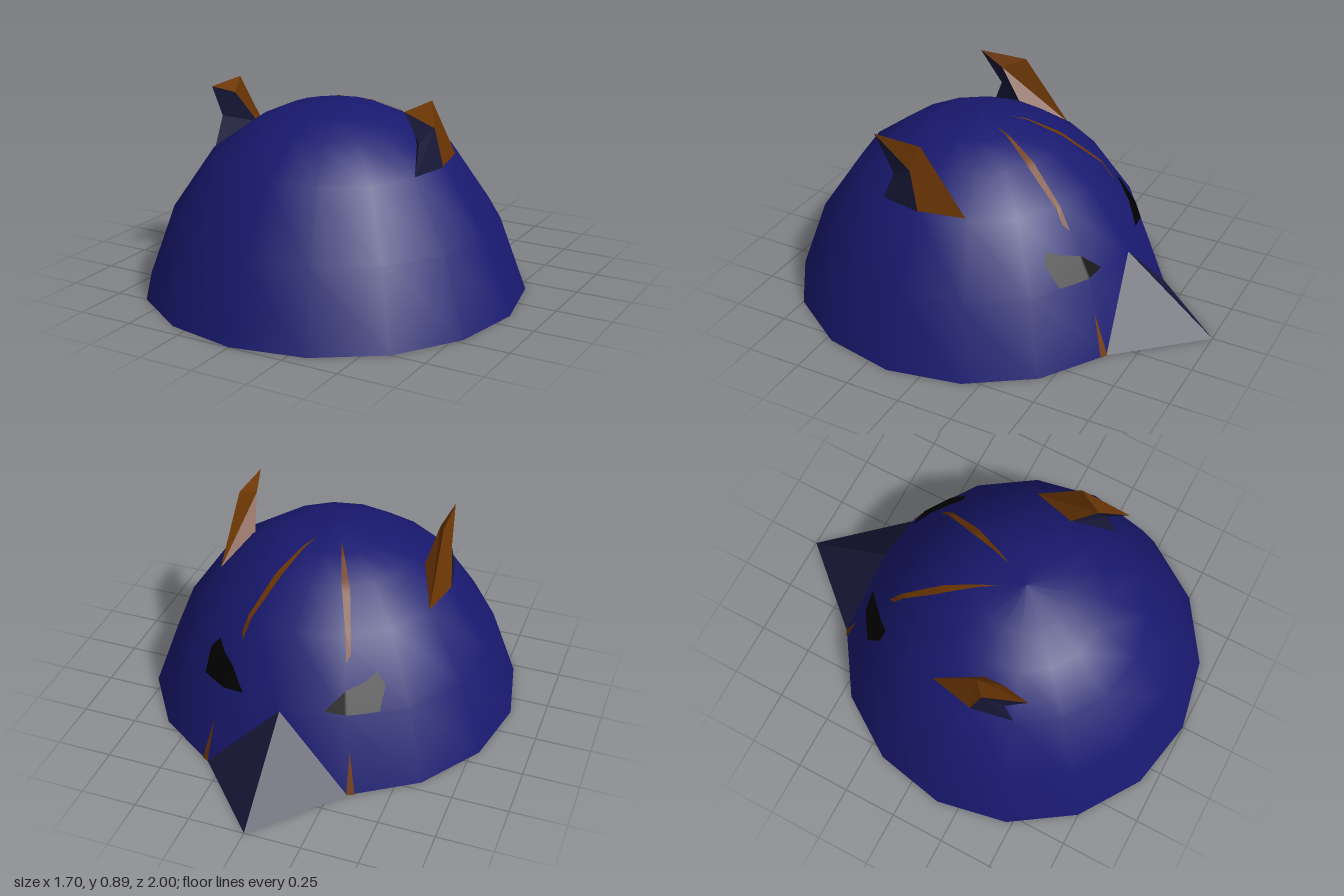
import * as THREE from 'three';

const CZ = 0.148; // z of the dome axis
const SIDES = 16;
const PROFILE = [[0.85, 0], [0.73, 0.328], [0.54, 0.607], [0.355, 0.74], [0.205, 0.807], [0, 0.838]];

const material = (name, color) => {
  const m = new THREE.MeshStandardMaterial({ color, side: THREE.DoubleSide });
  m.name = name;
  return m;
};

// Height of the faceted dome above a point of the ground plane
function domeHeight(x, z) {
  const step = (2 * Math.PI) / SIDES;
  const a = Math.atan2(z - CZ, x) + 2 * Math.PI;
  const r = Math.hypot(x, z - CZ) * Math.cos((a % step) - step / 2) / Math.cos(step / 2);
  for (let i = 1; i < PROFILE.length; i++) {
    const [r0, y0] = PROFILE[i - 1], [r1, y1] = PROFILE[i];
    if (r >= r1) return Math.max(0, y0 + (y1 - y0) * (r0 - r) / (r0 - r1));
  }
  return PROFILE.at(-1)[1];
}

// Flat-shaded triangles, optionally mirrored in x
function facets(tris, s = 1) {
  const pos = [];
  for (const [a, b, c] of tris) {
    for (const p of s > 0 ? [a, b, c] : [a, c, b]) pos.push(p[0] * s, p[1], p[2]);
  }
  const g = new THREE.BufferGeometry();
  g.setAttribute('position', new THREE.Float32BufferAttribute(pos, 3));
  g.computeVertexNormals();
  return g;
}

// Thin marking draped on the dome between two edges given as [x, z] points
function marking(edgeA, edgeB, s) {
  const along = 10, across = 8, pos = [], idx = [];
  const rows = (edgeA.length - 1) * along;
  for (let i = 0; i <= rows; i++) {
    const k = Math.min(Math.floor(i / along), edgeA.length - 2), t = i / along - k;
    const on = (e, c) => THREE.MathUtils.lerp(e[k][c], e[k + 1][c], t);
    for (let j = 0; j <= across; j++) {
      const x = THREE.MathUtils.lerp(on(edgeA, 0), on(edgeB, 0), j / across);
      const z = THREE.MathUtils.lerp(on(edgeA, 1), on(edgeB, 1), j / across);
      const y = domeHeight(x, z);
      const d = new THREE.Vector3(x, y, z - CZ).normalize().multiplyScalar(0.004);
      pos.push(s * (x + d.x), y + d.y, z + d.z);
      if (i < rows && j < across) {
        const a = i * (across + 1) + j, b = a + 1, c = a + across + 1, e = c + 1;
        if (s > 0) idx.push(a, c, b, b, c, e);
        else idx.push(a, b, c, b, e, c);
      }
    }
  }
  const g = new THREE.BufferGeometry();
  g.setAttribute('position', new THREE.Float32BufferAttribute(pos, 3));
  g.setIndex(idx);
  g.computeVertexNormals();
  return g;
}

export function createModel() {
  const root = new THREE.Group();
  root.name = 'helmet';
  const navy = material('navy', 0x191970);
  const slate = material('slate', 0x1a1a3c);
  const brown = material('brown', 0x6e3704);
  const black = material('black', 0x000000);
  const add = (name, geometry, mat) => {
    const m = new THREE.Mesh(geometry, mat);
    m.name = name;
    root.add(m);
    return m;
  };

  // Shell: thin dome with a flat rim turned inwards
  const lathe = pts => new THREE.LatheGeometry(pts.map(p => new THREE.Vector2(...p)), SIDES);
  add('dome', lathe(PROFILE), navy).position.z = CZ;
  add('rim', lathe([[0.755, 0], [0.85, 0]]), navy).position.z = CZ;

  // Beak
  const tip = [0, 0, -1], ridge = [0, 0.33, -0.584], heel = [0, 0, -0.702];
  const cornerL = [0.325, 0, -0.638], cornerR = [-0.325, 0, -0.638];
  add('beak', facets([[ridge, cornerL, tip], [ridge, tip, cornerR]]), slate);
  add('beakUnderside', facets([[tip, cornerL, heel], [tip, heel, cornerR]]), navy);

  // Ears: loops run back, outer, front, inner
  const base = [[0.49, 0.61, -0.05], [0.532, 0.61, 0.16], [0.494, 0.61, 0.35], [0.4, 0.69, 0.15]];
  const top = [[0.478, 0.894, 0.168], [0.51, 0.787, 0.205], [0.486, 0.74, 0.3], [0.437, 0.845, 0.27]];
  const point = [0.468, 0.894, 0.4];
  const earFaces = sides => sides.flatMap(i => {
    const j = (i + 1) % 4;
    return [[base[j], base[i], top[i]], [base[j], top[i], top[j]], [top[j], top[i], point]];
  });

  // Edges of the painted markings
  const eyeLow = [[0.185, -0.535], [0.278, -0.521], [0.34, -0.482], [0.4, -0.442], [0.4, -0.37]];
  const eyeHigh = [[0.185, -0.535], [0.235, -0.488], [0.28, -0.445], [0.32, -0.408], [0.36, -0.358]];
  const stripeOut = [[0.235, -0.405], [0.246, -0.375], [0.173, -0.18], [0.055, 0.04]];
  const stripeIn = [[0.235, -0.405], [0.213, -0.35], [0.135, -0.18], [0.055, 0.04]];
  const cheekOut = [[0.31, -0.565], [0.352, -0.62]];
  const cheekIn = [[0.31, -0.565], [0.322, -0.638]];

  for (const [side, s] of [['left', 1], ['right', -1]]) {
    add(side + 'EarBack', facets(earFaces([3, 0]), s), brown);
    add(side + 'EarFront', facets(earFaces([1, 2]), s), slate);
    add(side + 'Eye', marking(eyeHigh, eyeLow, s), black);
    add(side + 'CrownStripe', marking(stripeIn, stripeOut, s), brown);
    add(side + 'CheekStripe', marking(cheekOut, cheekIn, s), brown);
  }
  return root;
}
